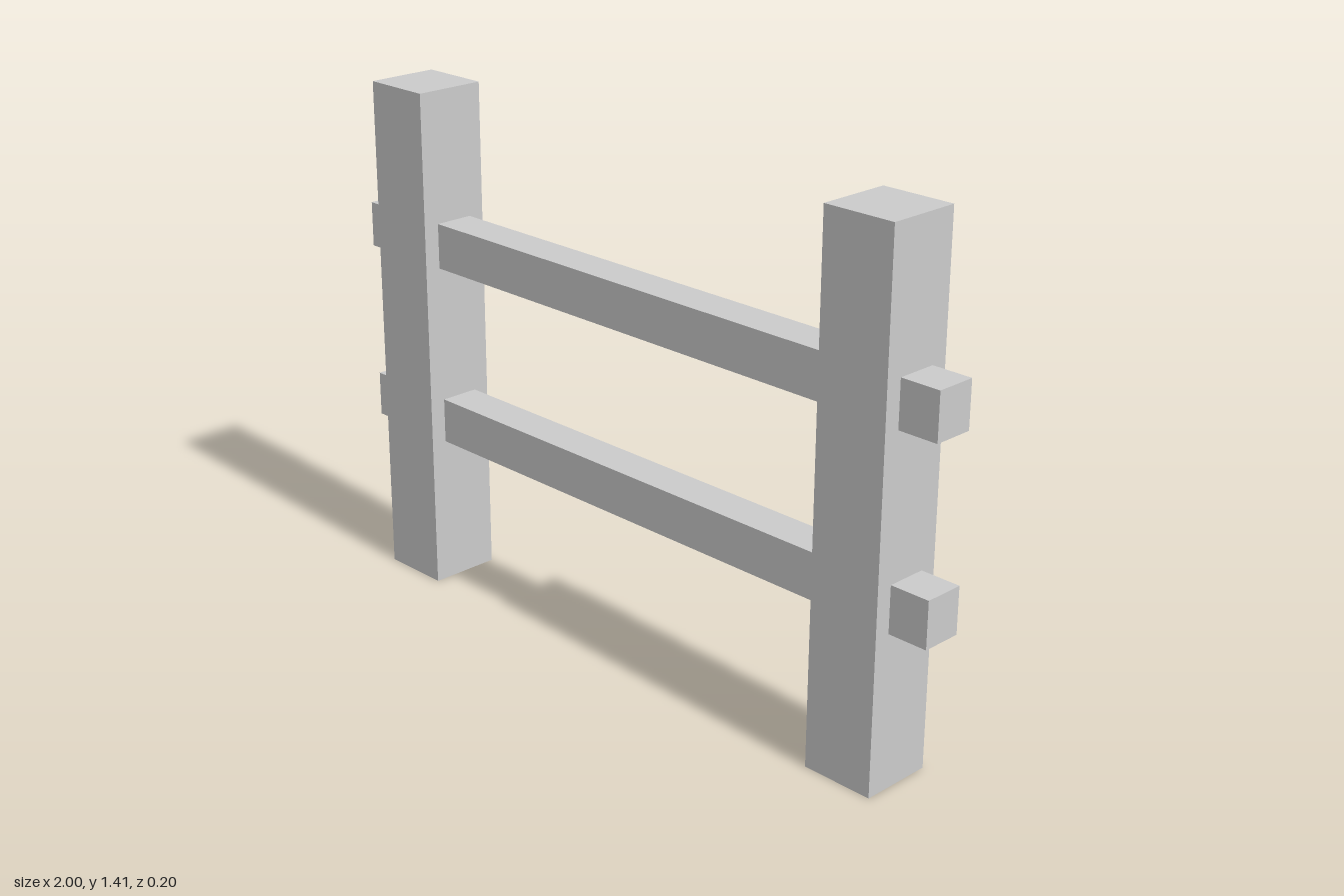
import * as THREE from 'three';

export function createModel() {
  const group = new THREE.Group();
  const material = new THREE.MeshStandardMaterial({ color: 0xcccccc, flatShading: true });

  const addBeam = (name, size, position) => {
    const beam = new THREE.Mesh(new THREE.BoxGeometry(...size), material);
    beam.name = name;
    beam.position.set(...position);
    group.add(beam);
  };

  // Square upright posts
  const postHeight = 1.41;
  addBeam('rightPost', [0.2, postHeight, 0.2], [-0.81, postHeight / 2, 0]);
  addBeam('leftPost', [0.2, postHeight, 0.2], [0.79, postHeight / 2, 0]);

  // Rails passing through both posts
  addBeam('lowerRail', [2, 0.125, 0.11], [0, 0.48, 0]);
  addBeam('upperRail', [2, 0.125, 0.11], [0, 0.985, 0]);

  return group;
}
